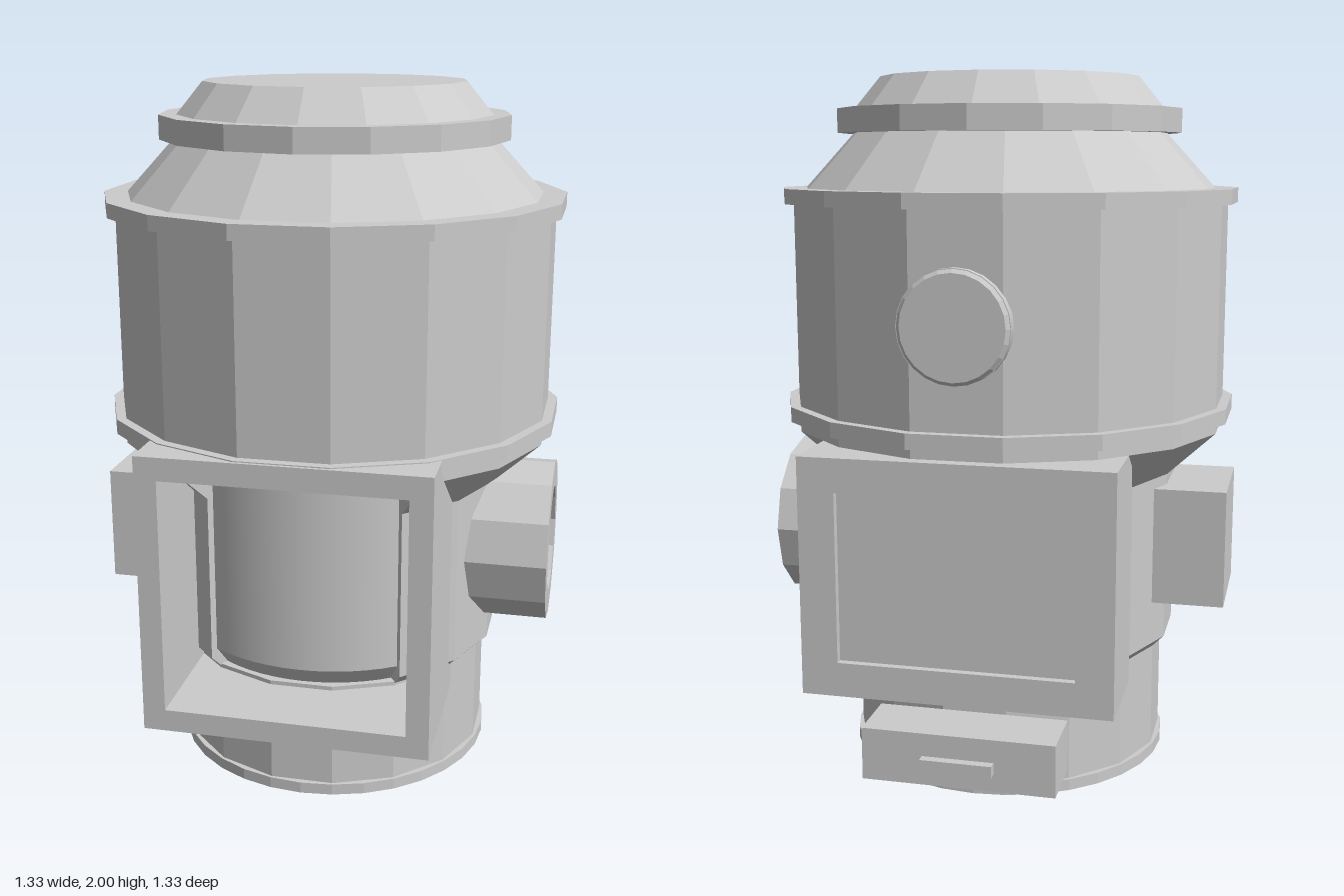
import * as THREE from 'three';

export function createModel() {
  const model = new THREE.Group();
  const grey = new THREE.MeshStandardMaterial({ color: 0xcccccc, side: THREE.DoubleSide });
  grey.name = 'grey';

  function add(name, geometry, x = 0, y = 0, z = 0) {
    const mesh = new THREE.Mesh(geometry, grey);
    mesh.name = name;
    mesh.position.set(x, y, z);
    model.add(mesh);
    return mesh;
  }

  // Box given by its minimum and maximum corners
  function box(name, x0, x1, y0, y1, z0, z1) {
    return add(name, new THREE.BoxGeometry(x1 - x0, y1 - y0, z1 - z0),
      (x0 + x1) / 2, (y0 + y1) / 2, (z0 + z1) / 2);
  }

  // Profile of [radius, y] turned about the y axis
  function turned(profile, sides, start = 0, sweep = Math.PI * 2, flat = true) {
    const points = profile.map(([r, y]) => new THREE.Vector2(r, y));
    const g = new THREE.LatheGeometry(points, sides, start, sweep);
    if (!flat) return g;
    const faceted = g.toNonIndexed();
    faceted.computeVertexNormals();
    return faceted;
  }

  const rect = (P, x0, x1, y0, y1) => new P([[x0, y0], [x1, y0], [x1, y1], [x0, y1]]
    .map(([x, y]) => new THREE.Vector2(x, y)));

  // Rectangular frame extruded along z
  function frame(name, outer, inner, z0, z1) {
    const shape = rect(THREE.Shape, ...outer);
    shape.holes.push(rect(THREE.Path, ...inner));
    add(name, new THREE.ExtrudeGeometry(shape, { depth: z1 - z0, bevelEnabled: false }), 0, 0, z0);
  }

  const SIDES = 16;
  const step = Math.PI * 2 / SIDES;
  const half = step / 2;

  // Base
  add('footDisc', turned([[0, 0], [0.474, 0], [0.474, 0.033], [0, 0.033]], 32));
  add('base', turned([[0, 0.01], [0.466, 0.01], [0.466, 0.345], [0, 0.345]], SIDES, half));

  // Middle body and flare, with three sides left open at the front
  const shellStart = half + step;
  add('middleBody', turned([[0.466, 0.34], [0.5, 0.375], [0.5, 0.87], [0.64, 1.0]],
    SIDES - 3, shellStart, step * (SIDES - 3)));

  // Curved panel behind the front opening, with a sloped lower lip
  const arc = [12, -shellStart, shellStart * 2, false];
  add('innerPanel', turned([[0.48, 0.4], [0.48, 1.0]], ...arc));
  add('innerPanelLip', turned([[0.43, 0.33], [0.48, 0.4]], ...arc));

  // Cut ends of the shell on either side of the panel
  const cut = new THREE.Shape([[0.43, 0.34], [0.466, 0.34], [0.5, 0.375], [0.5, 0.87], [0.64, 1.0], [0.47, 1.0]]
    .map(([x, y]) => new THREE.Vector2(x, y)));
  for (const s of [-1, 1]) {
    add('shellEdge', new THREE.ShapeGeometry(cut)).rotation.y = s * shellStart - Math.PI / 2;
  }

  // Upper drum and its flanges
  add('upperDrum', turned([[0, 1.0], [0.64, 1.0], [0.64, 1.66], [0, 1.66]], SIDES, half));
  for (const [y0, y1] of [[1.03, 1.073], [1.645, 1.687]]) {
    add('flange', turned([[0.6, y0], [0.668, y0], [0.668, y1], [0, y1]], SIDES, half));
  }

  // Stepped lid
  add('lidCone', turned([[0.602, 1.685], [0.455, 1.845]], SIDES, half));
  add('lidRing', turned([[0, 1.842], [0.5, 1.842], [0.5, 1.91], [0, 1.91]], SIDES));
  add('lidCap', turned([[0.45, 1.91], [0.375, 2.0], [0, 2.0]], SIDES));

  // Front housing
  frame('frontHousing', [-0.4, 0.4, 0.27, 1.07], [-0.337, 0.337, 0.333, 1.005], 0.22, 0.665);

  // Rear housing with recessed panel
  box('rearHousing', -0.427, 0.427, 0.34, 1.0, -0.645, -0.39);
  frame('rearFrame', [-0.427, 0.427, 0.34, 1.0], [-0.325, 0.325, 0.435, 0.905], -0.666, -0.645);

  // Rear drawer
  box('drawer', -0.27, 0.27, 0.095, 0.243, -0.64, -0.468);
  box('drawerHandle', -0.1, 0.1, 0.145, 0.178, -0.665, -0.64);

  // Rear round cover
  const cover = new THREE.CylinderGeometry(0.14, 0.152, 0.012, 24).toNonIndexed();
  cover.computeVertexNormals();
  add('roundCover', new THREE.CylinderGeometry(0.152, 0.152, 0.04, 24), 0, 1.35, -0.632).rotation.x = -Math.PI / 2;
  add('roundCoverFace', cover, 0, 1.35, -0.656).rotation.x = -Math.PI / 2;

  // Side pipe
  add('sidePipe', turned([[0.16, 0.4], [0.24, 0.4], [0.24, 0.665], [0.16, 0.665], [0.16, 0.4]], 12),
    0, 0.67, 0).rotation.z = -Math.PI / 2;

  // Side box
  box('sideBox', -0.667, -0.44, 0.5, 0.84, -0.168, 0.168);

  return model;
}
